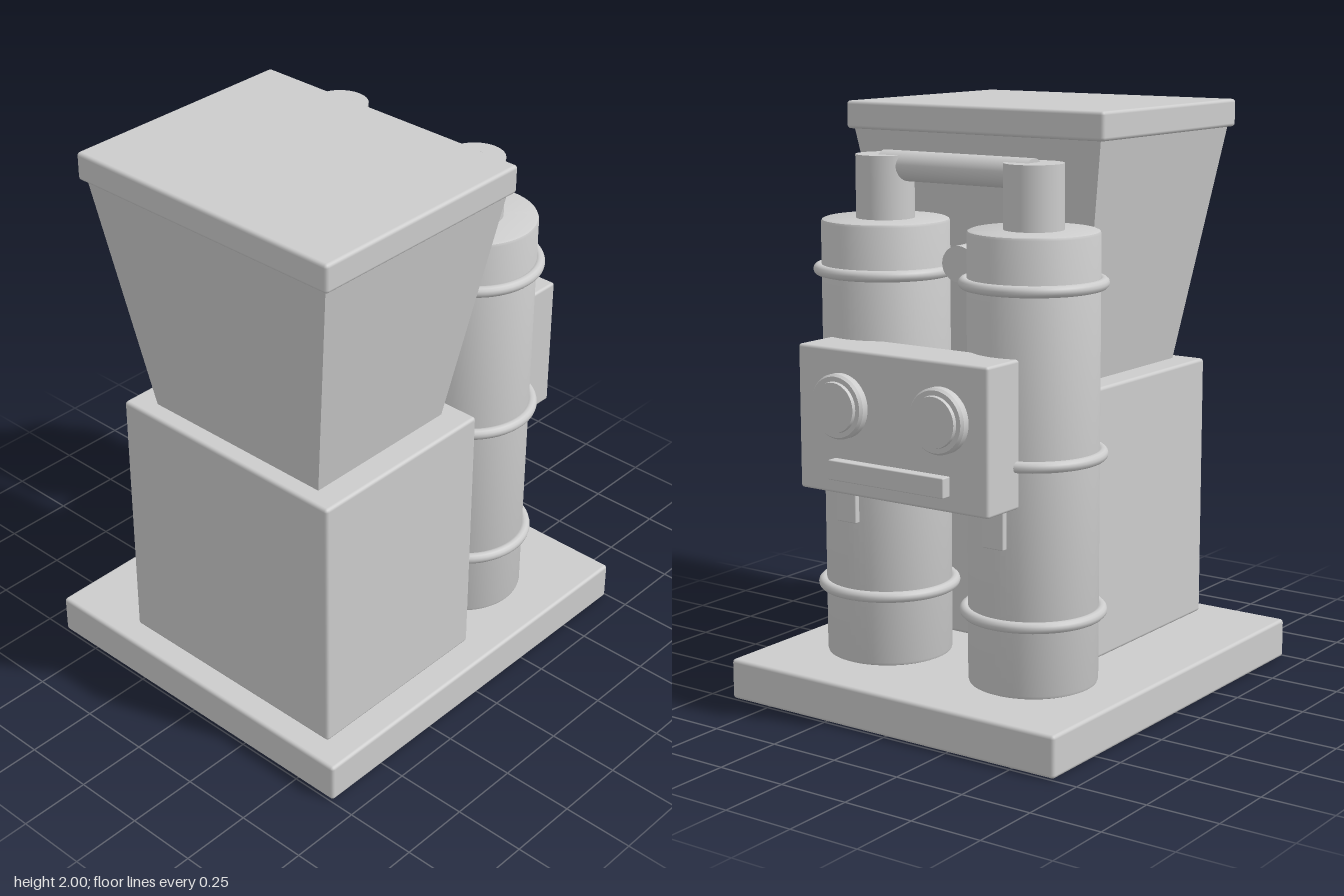
import * as THREE from 'three';
import { RoundedBoxGeometry } from 'three/addons/geometries/RoundedBoxGeometry.js';
import { toCreasedNormals } from 'three/addons/utils/BufferGeometryUtils.js';

export function createModel() {
  const model = new THREE.Group();
  model.name = 'hopperMachine';
  const grey = new THREE.MeshStandardMaterial({ color: 0xcccccc });
  grey.name = 'plainGrey';

  const add = (name, geometry, x = 0, y = 0, z = 0, parent = model) => {
    const mesh = new THREE.Mesh(geometry, grey);
    mesh.name = name;
    mesh.position.set(x, y, z);
    parent.add(mesh);
    return mesh;
  };

  // Softly rounded box given by its extents on each axis
  const box = (name, [x0, x1], [y0, y1], [z0, z1], r = 0.012, parent = model) =>
    add(name, new RoundedBoxGeometry(x1 - x0, y1 - y0, z1 - z0, 2, r),
      (x0 + x1) / 2, (y0 + y1) / 2, (z0 + z1) / 2, parent);

  // Round bar between two points
  const bar = (name, a, b, radius, parent = model) => {
    const from = new THREE.Vector3(...a), to = new THREE.Vector3(...b);
    const dir = to.clone().sub(from);
    const mid = from.clone().add(to).multiplyScalar(0.5);
    const mesh = add(name, new THREE.CylinderGeometry(radius, radius, dir.length(), 40), mid.x, mid.y, mid.z, parent);
    mesh.quaternion.setFromUnitVectors(new THREE.Vector3(0, 1, 0), dir.normalize());
    return mesh;
  };

  // Base slab and body
  box('base', [-0.745, 0.745], [0, 0.14], [-0.662, 0.662]);
  box('body', [-0.66, 0.06], [0.14, 1.08], [-0.36, 0.56]);

  // Hopper: a box narrowed towards its foot, with a flat lid
  const hopperGeometry = new THREE.BoxGeometry(0.825, 0.84, 1.02);
  const pos = hopperGeometry.attributes.position;
  for (let i = 0; i < pos.count; i++) {
    if (pos.getY(i) < 0) pos.setXYZ(i, pos.getX(i) * 0.716, pos.getY(i), pos.getZ(i) * 0.716);
  }
  hopperGeometry.computeVertexNormals();
  add('hopper', hopperGeometry, -0.302, 1.5, 0.1);
  box('hopperLid', [-0.732, 0.128], [1.904, 2], [-0.43, 0.63]);

  // Pair of tanks with hoops and necks
  const tankProfile = [
    [0, 0.14], [0.203, 0.14], [0.212, 0.144], [0.215, 0.153],
    [0.215, 1.623], [0.212, 1.631], [0.203, 1.635], [0, 1.635],
  ].map(([r, y]) => new THREE.Vector2(r, y));
  const tankGeometry = toCreasedNormals(new THREE.LatheGeometry(tankProfile, 64), 0.6);
  const hoopGeometry = new THREE.TorusGeometry(0.224, 0.019, 12, 64).rotateX(Math.PI / 2);
  for (const side of [-1, 1]) {
    const tank = new THREE.Group();
    tank.name = side > 0 ? 'frontTank' : 'rearTank';
    tank.position.set(0.33, 0, side * 0.3);
    model.add(tank);
    add('tankShell', tankGeometry, 0, 0, 0, tank);
    for (const y of [0.385, 0.91, 1.466]) add('tankHoop', hoopGeometry, 0, y, 0, tank);
    bar('tankNeck', [0, 1.62, 0], [0, 1.846, 0], 0.098, tank);
  }

  // Pipes joining the tanks and feeding the hopper
  bar('crossPipe', [0.33, 1.81, -0.3], [0.33, 1.81, 0.3], 0.05);
  bar('feedPipe', [-0.15, 1.5, 0.064], [0.33, 1.5, 0], 0.06);

  // Control box with dials, slot and brackets
  const panel = new THREE.Group();
  panel.name = 'controlPanel';
  model.add(panel);
  box('panelBox', [0.5, 0.694], [0.772, 1.252], [-0.38, 0.38], 0.01, panel);
  box('panelSlot', [0.68, 0.73], [0.824, 0.89], [-0.232, 0.232], 0.004, panel);
  const dialProfile = [
    [0, -0.02], [0.107, -0.02], [0.107, 0.025], [0.1, 0.035],
    [0.084, 0.035], [0.082, 0.047], [0, 0.047],
  ].map(([r, y]) => new THREE.Vector2(r, y));
  const dialGeometry = toCreasedNormals(new THREE.LatheGeometry(dialProfile, 48), 0.5);
  dialGeometry.rotateZ(-Math.PI / 2);
  for (const side of [-1, 1]) {
    add('dial', dialGeometry, 0.693, 1.066, side * 0.2, panel);
    box('panelBracket', [0.48, 0.56], [0.635, 0.8], [side * 0.3 - 0.041, side * 0.3 + 0.041], 0.004, panel);
  }
  return model;
}
